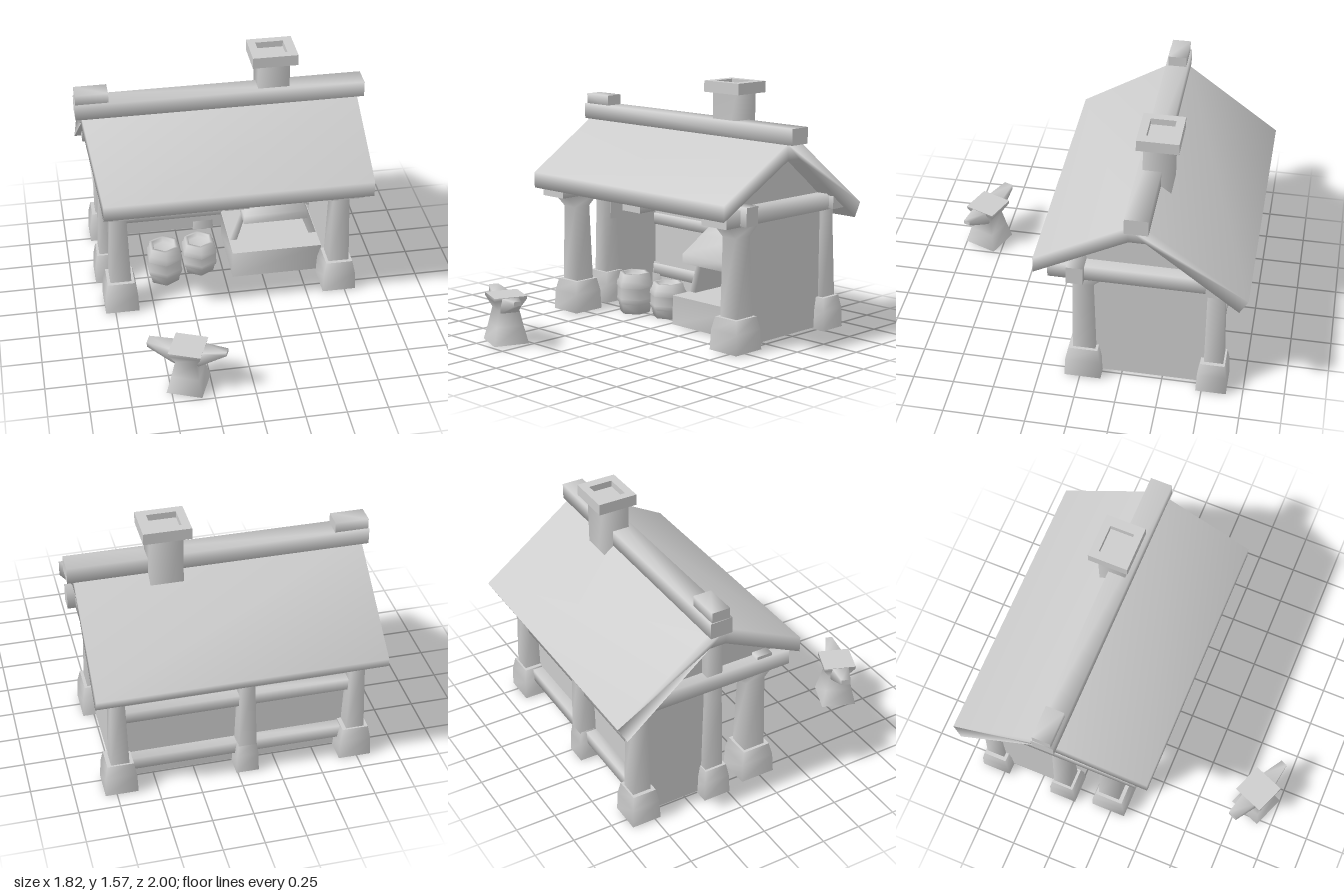
import * as THREE from 'three';
import { mergeVertices } from 'three/addons/utils/BufferGeometryUtils.js';

const stone = new THREE.MeshStandardMaterial({ color: 0xcccccc, side: THREE.DoubleSide });
stone.name = 'pale grey';

// Solid through rectangular sections [y, x0, x1, z0, z1]: soft sides, flat ends
function loft(sections, openBottom = false) {
  const pos = [], idx = [];
  const ring = ([y, x0, x1, z0, z1]) => pos.push(x0, y, z0, x0, y, z1, x1, y, z1, x1, y, z0);
  sections.forEach(ring);
  for (let i = 0; i < sections.length - 1; i++) {
    for (let j = 0; j < 4; j++) {
      const a = i * 4 + j, b = i * 4 + (j + 1) % 4;
      idx.push(a, b, b + 4, a, b + 4, a + 4);
    }
  }
  const n = sections.length * 4;
  ring(sections[sections.length - 1]);
  idx.push(n, n + 1, n + 2, n, n + 2, n + 3);
  if (!openBottom) {
    ring(sections[0]);
    idx.push(n + 4, n + 6, n + 5, n + 4, n + 7, n + 6);
  }
  const g = new THREE.BufferGeometry();
  g.setAttribute('position', new THREE.Float32BufferAttribute(pos, 3));
  g.setIndex(idx);
  g.computeVertexNormals();
  return g;
}

// Soft-sided timbers lying along x or z
const timberX = (x0, x1, y0, y1, z0, z1) =>
  loft([[x0, -y1, -y0, z0, z1], [x1, -y1, -y0, z0, z1]]).rotateZ(-Math.PI / 2);
const timberZ = (x0, x1, y0, y1, z0, z1) =>
  loft([[z0, x0, x1, -y1, -y0], [z1, x0, x1, -y1, -y0]]).rotateX(Math.PI / 2);

function soften(g) {
  g.deleteAttribute('normal');
  g.deleteAttribute('uv');
  const m = mergeVertices(g, 1e-4);
  m.computeVertexNormals();
  return m;
}

// Extrude a (z, y) outline from x0 to x1
function alongX(points, x0, x1) {
  const shape = new THREE.Shape(points.map(([z, y]) => new THREE.Vector2(-z, y)));
  const g = new THREE.ExtrudeGeometry(shape, { depth: x1 - x0, bevelEnabled: false });
  return g.rotateY(Math.PI / 2).translate(x0, 0, 0);
}

export function createModel() {
  const model = new THREE.Group();
  model.name = 'smithy';
  const add = (name, geometry, parent = model) => {
    const m = new THREE.Mesh(geometry, stone);
    m.name = name;
    parent.add(m);
    return m;
  };
  const box = (name, x0, x1, y0, y1, z0, z1) => add(name, new THREE.BoxGeometry(x1 - x0, y1 - y0, z1 - z0)
    .translate((x0 + x1) / 2, (y0 + y1) / 2, (z0 + z1) / 2));

  // Roof: bent slab whose left edge is cut askew
  const roof = alongX([[0.26, 0.94], [-0.29, 1.24], [-0.41, 1.24], [-1, 0.8],
    [-0.95, 0.71], [-0.4, 1.14], [-0.3, 1.14], [0.26, 0.84]], -0.87, 0.865);
  const p = roof.attributes.position;
  for (let i = 0; i < p.count; i++) {
    if (p.getX(i) > 0) continue;
    const z = p.getZ(i);
    if (z > 0) p.setX(i, -0.805);
    else if (z < -0.9 && p.getY(i) < 0.75) p.setX(i, -0.89);
  }
  add('roof', soften(roof));
  add('ridgeBeam', timberX(-0.91, 0.91, 1.235, 1.335, -0.42, -0.28));
  add('ridgeCap', timberX(-0.905, -0.7, 1.32, 1.4, -0.41, -0.295));

  // Gable walls under the roof ends
  const gable = [[0.2, 0.87], [-0.3, 1.15], [-0.4, 1.15], [-0.74, 0.87]];
  for (const x of [-0.74, 0.68]) add('gable', alongX(gable, x, x + 0.06));

  // Posts with hollow feet of half size fx by fz; front ones spread into a bracket
  const post = (name, x, z, top, fx, fz, front) => {
    const r = front ? 0.067 : 0.056;
    const foot = (y, k) => [y, x - fx * k, x + fx * k, z - 0.008 - fz * k, z - 0.008 + fz * k];
    add(name + 'Foot', loft([foot(0.005, 1), foot(0.13, 0.95), foot(0.21, 0.8)], true));
    const rows = [[0.2, x - r, x + r, z - r - 0.015, z + r - 0.01],
      [0.7, x - r + 0.015, x + r - 0.015, z - r, z + r - 0.01]];
    rows.push(front ? [0.79, x - 0.055, x + 0.055, z - 0.17, z + 0.14]
      : [top, x - r + 0.01, x + r - 0.01, z - r, z + r - 0.01]);
    add(name, loft(rows));
  };
  post('frontPost', -0.705, -0.01, 0.79, 0.108, 0.112, true);
  post('frontPost', 0.712, -0.01, 0.79, 0.108, 0.112, true);
  post('backPost', -0.735, -0.8, 0.79, 0.1, 0.093, false);
  post('backPost', 0.72, -0.8, 0.79, 0.1, 0.093, false);
  post('backMiddlePost', -0.06, -0.8, 0.79, 0.07, 0.075, false);
  post('leftMiddlePost', -0.755, -0.32, 1.14, 0.09, 0.088, false);

  // Beams
  add('frontBeam', timberX(-0.8, 0.865, 0.785, 0.9, -0.035, 0.065));
  add('backBeam', timberX(-0.85, 0.85, 0.785, 0.89, -0.85, -0.75));
  for (const [x, w] of [[-0.71, 0.095], [0.02, 0.078], [0.715, 0.1]]) {
    add('crossBeam', timberZ(x - w, x + w, 0.78, 0.88, -0.82, 0.185));
  }

  // Walls and back rails
  box('backWall', -0.7, 0.7, 0.02, 0.79, -0.765, -0.735);
  box('rightWall', 0.68, 0.74, 0.015, 0.79, -0.8, 0);
  box('leftWall', -0.76, -0.71, 0.02, 0.79, -0.8, -0.32);
  for (const [y0, y1] of [[0.48, 0.555], [0.12, 0.2]]) add('rail', timberX(-0.7, 0.7, y0, y1, -0.83, -0.72));

  // Forge: open-bottomed hearth, slanted cheeks, back and hood
  add('hearth', loft([[0.01, 0.05, 0.64, -0.64, -0.15], [0.2, 0.05, 0.64, -0.64, -0.15]], true));
  add('forgeBack', loft([[0.19, 0.06, 0.63, -0.64, -0.58], [0.43, 0.14, 0.53, -0.63, -0.57]]));
  add('forgeCheek', loft([[0.19, 0.05, 0.1, -0.63, -0.3], [0.43, 0.13, 0.17, -0.63, -0.3]]));
  add('forgeCheek', loft([[0.19, 0.59, 0.64, -0.63, -0.3], [0.43, 0.5, 0.545, -0.63, -0.3]]));
  add('hood', loft([[0.42, 0.125, 0.545, -0.63, -0.16], [0.48, 0.125, 0.54, -0.63, -0.16],
    [0.6, 0.2, 0.47, -0.54, -0.25], [0.67, 0.237, 0.435, -0.48, -0.31]]));

  // Chimney with an open square cap
  add('chimney', loft([[0.66, 0.237, 0.435, -0.482, -0.31], [1.53, 0.237, 0.435, -0.482, -0.31]]));
  const rect = (T, x0, x1, y0, y1) => new T([[x0, y0], [x1, y0], [x1, y1], [x0, y1]].map(q => new THREE.Vector2(...q)));
  const rim = rect(THREE.Shape, 0.195, 0.48, 0.275, 0.525);
  rim.holes.push(rect(THREE.Path, 0.245, 0.42, 0.325, 0.475));
  add('chimneyCap', new THREE.ExtrudeGeometry(rim, { depth: 0.07, bevelEnabled: false })
    .rotateX(-Math.PI / 2).translate(0, 1.5, 0));

  // Six-sided barrels with raised hoops and a sunken lid
  const barrel = (x, z, h) => {
    const outline = [[0, 0], [0.1, 0], [0.113, 0.24], [0.12, 0.25], [0.126, 0.36], [0.121, 0.37],
      [0.121, 0.65], [0.126, 0.66], [0.12, 0.8], [0.113, 0.81], [0.1, 1], [0.08, 1], [0.075, 0.88], [0, 0.88]]
      .map(([r, y]) => new THREE.Vector2(r, y * h));
    add('barrel', new THREE.LatheGeometry(outline, 6)).position.set(x, 0, z);
  };
  barrel(-0.15, -0.31, 0.225);
  barrel(-0.39, -0.24, 0.265);

  // Anvil, turned a little, with deep tapering horns
  const anvil = new THREE.Group();
  anvil.name = 'anvil';
  anvil.position.set(-0.39, 0, 0.855);
  anvil.rotation.y = -0.38;
  model.add(anvil);
  add('anvilBody', loft([[0.01, -0.11, 0.11, -0.11, 0.11], [0.12, -0.085, 0.085, -0.085, 0.085],
    [0.22, -0.065, 0.065, -0.065, 0.065], [0.285, -0.095, 0.095, -0.105, 0.1],
    [0.305, -0.1, 0.1, -0.105, 0.1]], true), anvil);
  add('anvilHorns', loft([[-0.245, -0.315, -0.28, -0.03, 0.03], [-0.08, -0.3, -0.205, -0.055, 0.055],
    [0.08, -0.3, -0.205, -0.055, 0.055], [0.24, -0.31, -0.285, -0.022, 0.022]])
    .rotateZ(-Math.PI / 2), anvil);

  return model;
}
